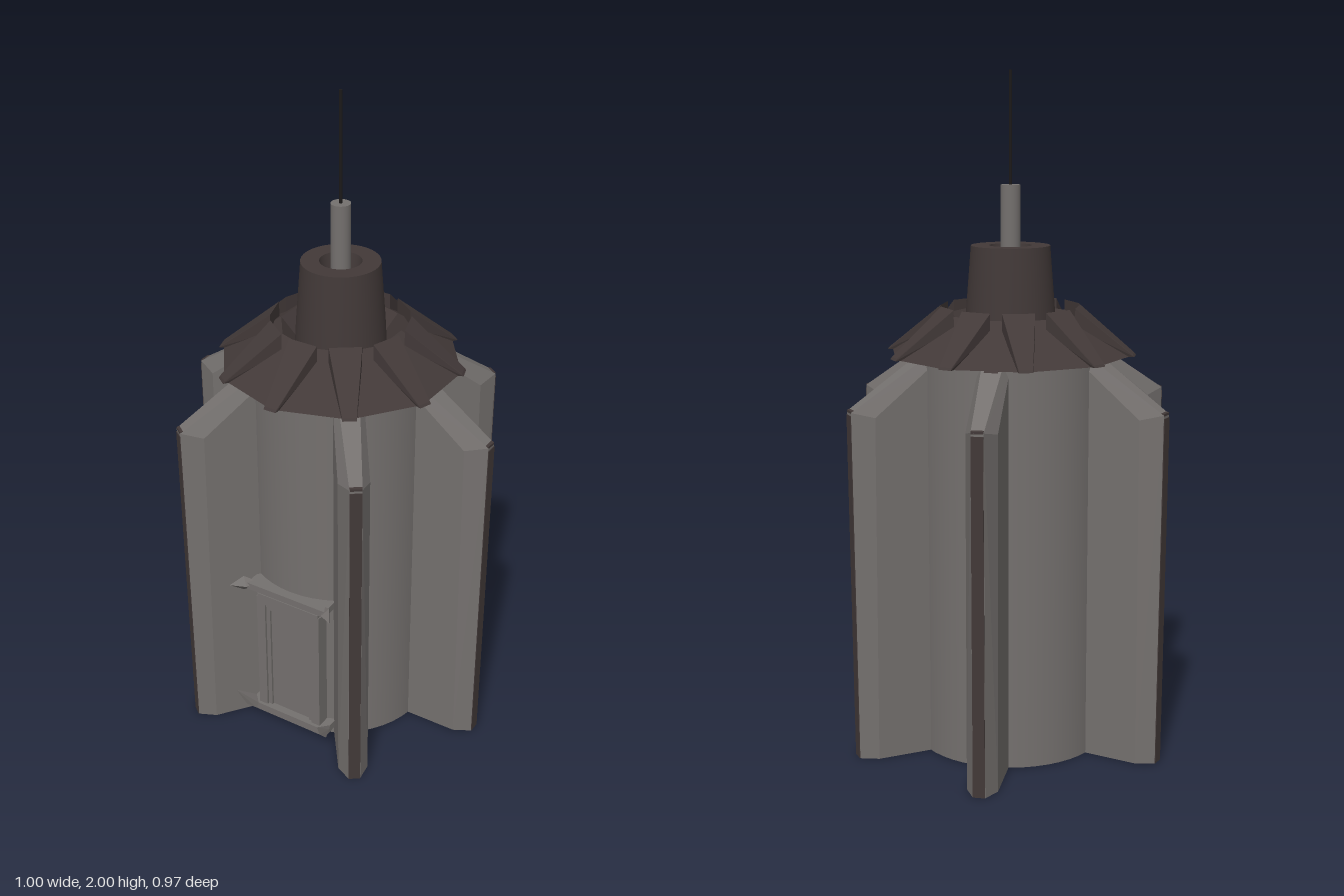
import * as THREE from 'three';
import { ConvexGeometry } from 'three/addons/geometries/ConvexGeometry.js';

const deg = Math.PI / 180;
const grey = new THREE.MeshStandardMaterial({ color: 0x74706e, side: THREE.DoubleSide });
grey.name = 'weathered grey';
const dark = new THREE.MeshStandardMaterial({ color: 0x423938, side: THREE.DoubleSide });
dark.name = 'dark brown metal';
const black = new THREE.MeshStandardMaterial({ color: 0x1c1a1a });
black.name = 'black';

function add(parent, name, geometry, material, x = 0, y = 0, z = 0) {
  const mesh = new THREE.Mesh(geometry, material);
  mesh.name = name;
  mesh.position.set(x, y, z);
  parent.add(mesh);
  return mesh;
}

// Convex solid mirrored across z; each point is [x, y, half width]
function hull(points) {
  const list = [];
  for (const [x, y, w] of points) {
    list.push(new THREE.Vector3(x, y, w));
    if (w > 0) list.push(new THREE.Vector3(x, y, -w));
  }
  return new ConvexGeometry(list);
}

function lathe(points, sides) {
  return new THREE.LatheGeometry(points.map(([r, y]) => new THREE.Vector2(r, y)), sides);
}

// Buttress with bevelled outer edge, sloping top and dark inlays
function makeFin(angle) {
  const fin = new THREE.Group();
  fin.name = 'fin';
  fin.rotation.y = angle * deg;
  add(fin, 'finBody', hull([
    [0.24, 0, 0.045], [0.445, 0, 0.045], [0.495, 0, 0.018],
    [0.24, 1.185, 0.045], [0.27, 1.165, 0.045], [0.44, 1.03, 0.045],
    [0.24, 1.2, 0.03], [0.29, 1.185, 0.03], [0.43, 1.06, 0.03], [0.503, 1.045, 0.018],
  ]), grey);
  const edge = add(fin, 'finEdgeStrip', new THREE.BoxGeometry(0.006, 1.035, 0.035), dark, 0.498, 0.518, 0);
  edge.rotation.z = -0.008;
  const inset = add(fin, 'finSlopeInlay', new THREE.BoxGeometry(0.18, 0.006, 0.04), dark, 0.36, 1.1225, 0);
  inset.rotation.z = -Math.atan2(0.125, 0.14);
  add(fin, 'finTip', hull([
    [0.435, 1.055, 0.027], [0.435, 1.063, 0.027], [0.503, 1.042, 0.017], [0.503, 1.049, 0.017],
  ]), dark);
  return fin;
}

// Doorway on the wall; local +x points outward, z runs along the wall
function makeDoor() {
  const door = new THREE.Group();
  door.name = 'doorway';
  door.rotation.y = 225 * deg;
  add(door, 'doorPanel', new THREE.BoxGeometry(0.05, 0.4, 0.16), grey, 0.265, 0.24, 0);
  add(door, 'doorLintel', new THREE.BoxGeometry(0.06, 0.035, 0.22), grey, 0.275, 0.463, 0);
  add(door, 'doorInnerLintel', new THREE.BoxGeometry(0.055, 0.02, 0.18), grey, 0.27, 0.435, 0);
  add(door, 'upperLedge', new THREE.BoxGeometry(0.07, 0.022, 0.28), grey, 0.28, 0.503, 0);
  add(door, 'lowerLedge', new THREE.BoxGeometry(0.07, 0.025, 0.28), grey, 0.28, 0.043, 0);
  for (const s of [-1, 1]) {
    add(door, 'doorPost', new THREE.BoxGeometry(0.06, 0.44, 0.03), grey, 0.275, 0.25, s * 0.098);
    add(door, 'doorInnerPost', new THREE.BoxGeometry(0.055, 0.4, 0.015), grey, 0.27, 0.24, s * 0.077);
    // Pointed ends of the ledges
    const v = (x, y, z) => new THREE.Vector3(x, y, s * z);
    add(door, 'upperLedgeTip', new ConvexGeometry([
      v(0.28, 0.503, 0.11), v(0.31, 0.53, 0.155), v(0.31, 0.48, 0.155),
      v(0.325, 0.505, 0.135), v(0.35, 0.51, 0.18),
    ]), grey);
    add(door, 'lowerLedgeTip', new ConvexGeometry([
      v(0.25, 0.03, 0.12), v(0.315, 0.03, 0.12), v(0.315, 0.055, 0.11),
      v(0.325, 0.04, 0.15), v(0.345, 0.1, 0.175),
    ]), grey);
  }
  return door;
}

export function createModel() {
  const model = new THREE.Group();
  model.name = 'finnedTower';
  const tower = new THREE.Group();
  tower.name = 'tower';
  tower.position.z = -0.022;
  model.add(tower);

  // Round core and unevenly spaced fins
  add(tower, 'core', new THREE.CylinderGeometry(0.285, 0.285, 1.2, 48), grey, 0, 0.6, 0);
  for (const a of [8.5, 64.2, 135.4, 188.5, 262, 315.4]) tower.add(makeFin(a));
  tower.add(makeDoor());

  // Ten-sided roof skirt with an inner lip
  const roof = new THREE.Group();
  roof.name = 'roof';
  roof.rotation.y = 9 * deg;
  tower.add(roof);
  const skirt = lathe([[0.36, 1.185], [0.18, 1.3], [0.125, 1.23]], 10).toNonIndexed();
  skirt.computeVertexNormals();
  add(roof, 'roofSkirt', skirt, dark).rotation.y = Math.PI / 2;
  // Tapered ribs on the roof corners
  const rib = hull([
    [0.2, 1.27, 0.047], [0.2, 1.325, 0.047],
    [0.35, 1.185, 0.02], [0.37, 1.185, 0.02], [0.365, 1.192, 0.02],
  ]);
  for (let i = 0; i < 10; i++) add(roof, 'roofRib', rib, dark).rotation.y = i * 36 * deg;

  // Hollow collar, mast and antenna
  const cap = new THREE.Group();
  cap.name = 'collar';
  tower.add(cap);
  add(cap, 'collarWall', lathe([[0.137, 1.2], [0.13, 1.32], [0.116, 1.5]], 40), dark);
  add(cap, 'collarRim', lathe([[0.116, 1.5], [0.062, 1.5]], 40), dark);
  add(cap, 'collarBore', lathe([[0.062, 1.5], [0.05, 1.43]], 40), dark);
  add(cap, 'collarFloor', lathe([[0.05, 1.43], [0, 1.43]], 40), dark);
  add(tower, 'mast', new THREE.CylinderGeometry(0.029, 0.029, 0.26, 24), grey, 0, 1.545, 0);
  add(tower, 'antenna', new THREE.CylinderGeometry(0.005, 0.005, 0.34, 8), black, 0, 1.83, 0);
  return model;
}
